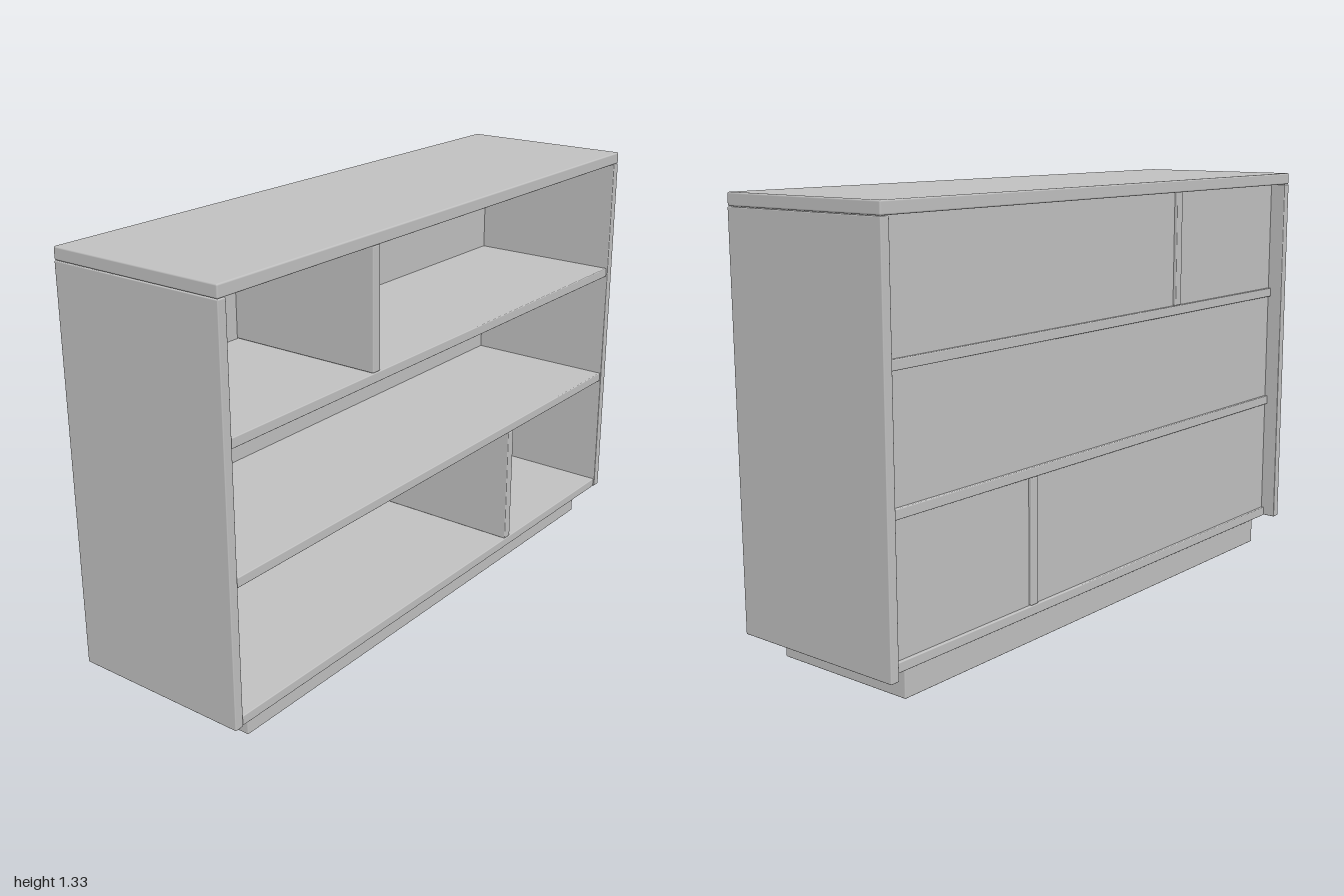
import * as THREE from 'three';
import { RoundedBoxGeometry } from 'three/addons/geometries/RoundedBoxGeometry.js';

export function createModel() {
  const group = new THREE.Group();
  group.name = 'openShelfUnit';

  const grey = new THREE.MeshStandardMaterial({ color: 0xc0c0c0 });
  grey.name = 'light grey';

  // Board with slightly eased edges, given by its extents on each axis
  function board(name, [x0, x1], [y0, y1], [z0, z1], ease = 0.003) {
    const geometry = new RoundedBoxGeometry(x1 - x0, y1 - y0, z1 - z0, 2, ease);
    const mesh = new THREE.Mesh(geometry, grey);
    mesh.name = name;
    mesh.position.set((x0 + x1) / 2, (y0 + y1) / 2, (z0 + z1) / 2);
    group.add(mesh);
  }

  const depth = [-0.29, 0.29];
  const inner = [-0.25, 0.287]; // shelves and dividers stop short of the rear edge

  // Recessed plinth and top board
  board('plinth', [-0.9, 0.9], [0, 0.086], [-0.24, 0.24]);
  board('topBoard', [-1, 1], [1.294, 1.332], depth, 0.005);

  // Side panels
  board('rightSidePanel', [-1, -0.97], [0.086, 1.293], depth);
  board('leftSidePanel', [0.97, 1], [0.086, 1.293], depth);

  // Shelves
  const shelves = { bottomShelf: 0.086, lowerShelf: 0.505, upperShelf: 0.897 };
  for (const [name, y] of Object.entries(shelves)) {
    board(name, [-0.968, 0.968], [y, y + 0.03], inner);
  }

  // Upright dividers
  board('upperDivider', [-0.387, -0.355], [0.928, 1.293], inner);
  board('lowerDivider', [0.348, 0.38], [0.117, 0.504], inner);

  // Back panel, set in from the shelf ends
  board('backPanel', [-0.969, 0.969], [0.09, 1.293], [-0.24, -0.225]);

  return group;
}
